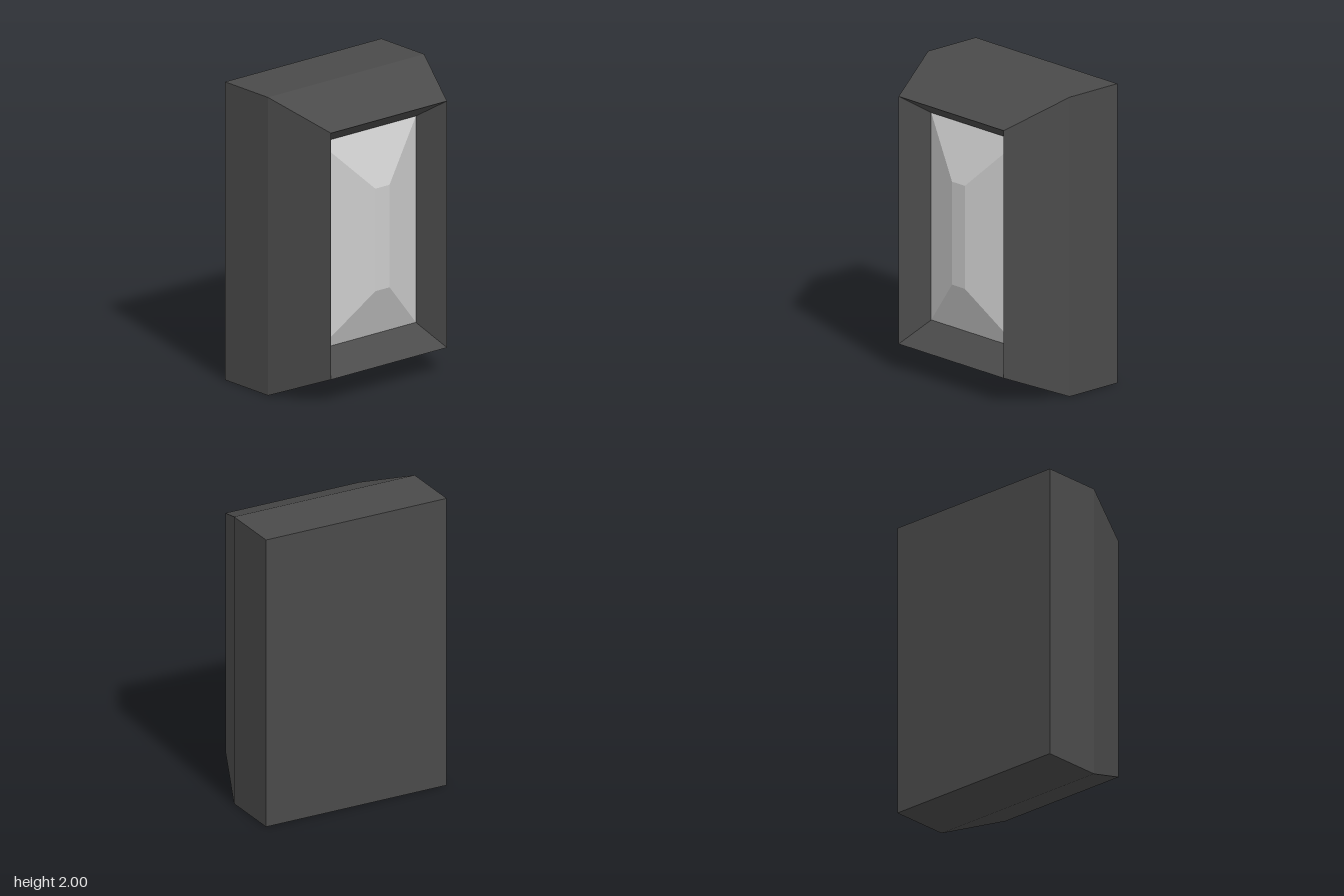
import * as THREE from 'three';

const CENTRE_Y = 1;

// Joins rectangular sections [halfWidth, halfHeight, z] with flat sides, optionally capping the ends.
function loftRectangles(sections, capFirst, capLast) {
  const rings = sections.map(([w, h, z]) => [
    [-w, CENTRE_Y - h, z], [w, CENTRE_Y - h, z], [w, CENTRE_Y + h, z], [-w, CENTRE_Y + h, z],
  ]);
  const positions = [];
  const quad = (a, b, c, d) => positions.push(...a, ...b, ...c, ...a, ...c, ...d);

  for (let r = 0; r < rings.length - 1; r++) {
    for (let i = 0; i < 4; i++) {
      const j = (i + 1) % 4;
      quad(rings[r][i], rings[r][j], rings[r + 1][j], rings[r + 1][i]);
    }
  }
  if (capFirst) quad(...[...rings[0]].reverse());
  if (capLast) quad(...rings[rings.length - 1]);

  const geometry = new THREE.BufferGeometry();
  geometry.setAttribute('position', new THREE.Float32BufferAttribute(positions, 3));
  geometry.computeVertexNormals();
  return geometry;
}

function addPart(group, name, geometry, color) {
  const mesh = new THREE.Mesh(geometry, new THREE.MeshStandardMaterial({ color, flatShading: true }));
  mesh.name = name;
  group.add(mesh);
}

export function createModel() {
  const model = new THREE.Group();
  model.name = 'framedGem';

  // Dark housing: square back, bevelled front, then a tapered recess
  addPart(model, 'housing', loftRectangles([
    [0.66, 1, -0.415],
    [0.66, 1, 0],
    [0.49, 0.827, 0.415],
    [0.408, 0.692, 0.207],
  ], true, true), 0x4a4a4a);

  // Faceted gem rising from the recess floor
  addPart(model, 'gem', loftRectangles([
    [0.408, 0.692, 0.208],
    [0.06, 0.344, 0.352],
  ], false, true), 0xcccccc);

  return model;
}
